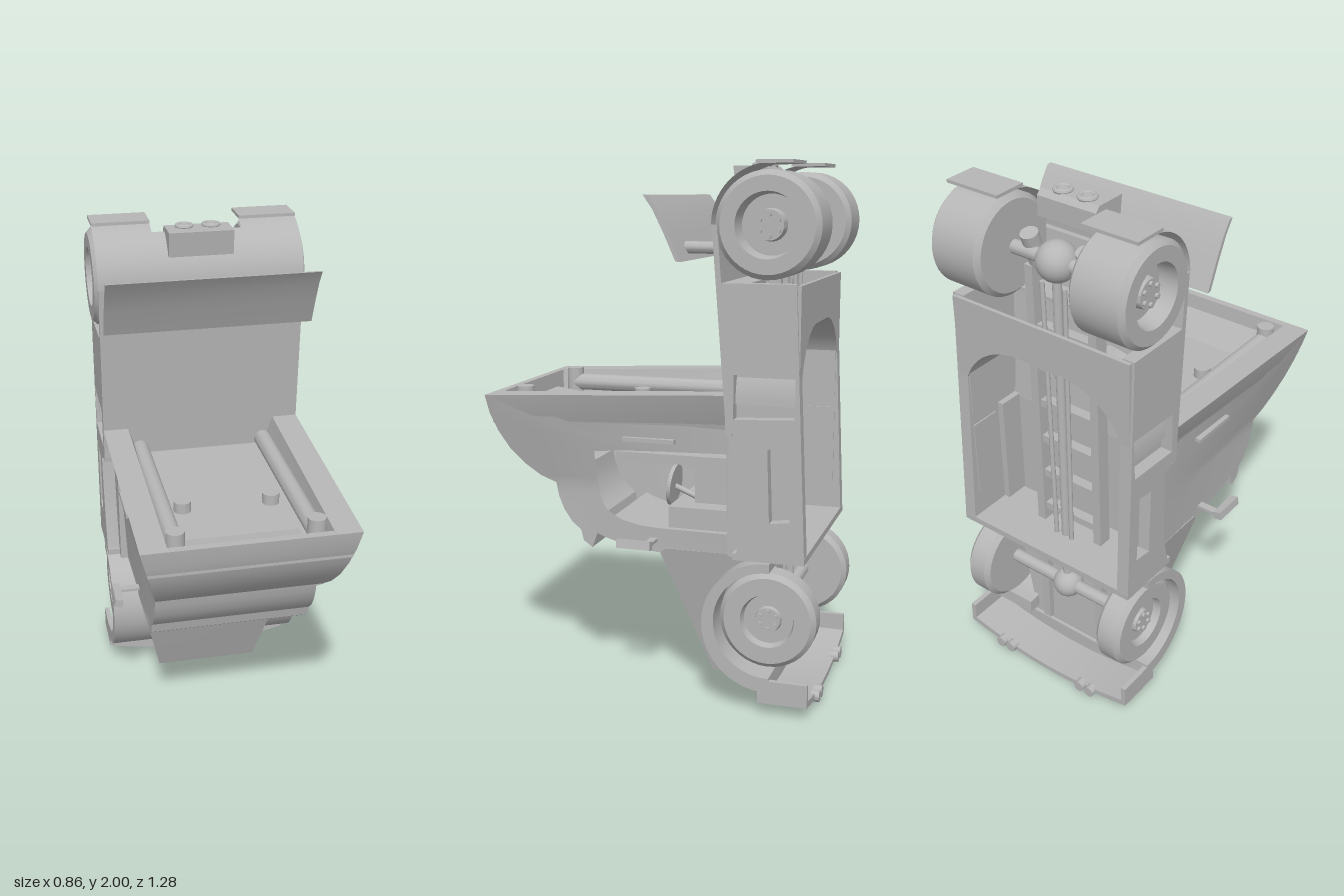
import * as THREE from 'three';
import { toCreasedNormals } from 'three/addons/utils/BufferGeometryUtils.js';

const grey = new THREE.MeshStandardMaterial({ color: 0xb6b6b6, side: THREE.DoubleSide });
grey.name = 'plain grey';

export function createModel() {
  const model = new THREE.Group();
  model.name = 'truck standing on its nose';

  const add = (name, geo, parent = model) => {
    const mesh = new THREE.Mesh(toCreasedNormals(geo, 0.6), grey);
    mesh.name = name;
    parent.add(mesh);
    return mesh;
  };
  // Move every vertex by a rule
  const warp = (geo, rule) => {
    const p = geo.attributes.position;
    const v = new THREE.Vector3();
    for (let i = 0; i < p.count; i++) {
      v.fromBufferAttribute(p, i);
      rule(v);
      p.setXYZ(i, v.x, v.y, v.z);
    }
    geo.computeVertexNormals();
    return geo;
  };
  const box = (x0, x1, y0, y1, z0, z1) =>
    new THREE.BoxGeometry(x1 - x0, y1 - y0, z1 - z0).translate((x0 + x1) / 2, (y0 + y1) / 2, (z0 + z1) / 2);
  const path = (pts) => pts.map(([a, b]) => new THREE.Vector2(a, b));
  // Side profile of [z, y] points extruded from x0 to x1
  const prism = (pts, x0, x1, holes = []) => {
    const shape = new THREE.Shape(path(pts));
    holes.forEach((h) => shape.holes.push(new THREE.Path(path(h))));
    return new THREE.ExtrudeGeometry(shape, { depth: x1 - x0, bevelEnabled: false })
      .rotateY(-Math.PI / 2).translate(x1, 0, 0);
  };
  // Outline of [x, y] points extruded from z0 to z1
  const slab = (pts, z0, z1) =>
    new THREE.ExtrudeGeometry(new THREE.Shape(path(pts)), { depth: z1 - z0, bevelEnabled: false }).translate(0, 0, z0);
  // Sheet following [z, y] points between x0 and x1
  const skin = (pts, x0, x1, width = () => 1) => {
    const geo = new THREE.PlaneGeometry(1, 1, 1, pts.length - 1);
    return warp(geo, (v) => {
      const [z, y] = pts[Math.round((0.5 - v.y) * (pts.length - 1))];
      v.set((v.x < 0 ? x0 : x1) * width(y, z), y, z);
    });
  };
  const arc = (cz, cy, r, a0, a1, n = 16) => Array.from({ length: n + 1 }, (_, i) => {
    const a = THREE.MathUtils.degToRad(a0 + (a1 - a0) * i / n);
    return [cz + r * Math.cos(a), cy + r * Math.sin(a)];
  });
  const rod = (r, from, to) => {
    const a = new THREE.Vector3(...from), b = new THREE.Vector3(...to);
    const d = b.clone().sub(a);
    const geo = new THREE.CylinderGeometry(r, r, d.length(), 20);
    geo.applyQuaternion(new THREE.Quaternion().setFromUnitVectors(new THREE.Vector3(0, 1, 0), d.normalize()));
    return geo.translate(...a.add(b).multiplyScalar(0.5).toArray());
  };

  // Half-width of the cab: leaning out towards the deck, tucked in under the rim near the bed
  const cabWidth = (y, z) => {
    const { clamp, lerp } = THREE.MathUtils;
    const front = lerp(0.31, 0.395, clamp((y - 0.8) / 0.34, 0, 1));
    const rear = y > 1.06 ? lerp(0.345, 0.4, clamp((y - 1.06) / 0.11, 0, 1)) : lerp(0.32, 0.345, clamp((y - 0.6) / 0.46, 0, 1));
    return lerp(front, rear, clamp((0.4 - z) / 0.7, 0, 1));
  };
  const taper = (geo) => warp(geo, (v) => { v.x *= cabWidth(v.y, v.z) / 0.4; });
  // Sheet between two closed [z, y] loops, lying on the side of the cab
  const ring = (outer, inner) => warp(new THREE.PlaneGeometry(1, 1, outer.length, 6), (v) => {
    const i = Math.round((v.x + 0.5) * outer.length) % outer.length;
    const z = THREE.MathUtils.lerp(inner[i][0], outer[i][0], v.y + 0.5);
    const y = THREE.MathUtils.lerp(inner[i][1], outer[i][1], v.y + 0.5);
    v.set(cabWidth(y, z), y, z);
  });

  // Cab front and roof
  const roof = [[0.64, 1.14], [0.63, 1.07], [0.605, 1.0], [0.565, 0.93], [0.51, 0.87], [0.45, 0.825], [0.39, 0.8]];
  const glass = [[0.39, 0.8], [0.38, 0.75], [0.36, 0.7], [0.33, 0.655], [0.29, 0.62], [0.28, 0.58], [0.245, 0.555]];
  const cowl = [[0.245, 0.555], [0.24, 0.62], [0.19, 0.6], [0.12, 0.58], [0.04, 0.565], [-0.04, 0.56]];
  add('cabRoof', skin(roof, -1, 1, cabWidth));
  add('windshield', skin(glass, -1, 1, cabWidth));
  add('cowl', skin(cowl, -1, 1, cabWidth));
  const cabOutline = [...roof, ...glass.slice(1), ...cowl.slice(1),
    [-0.3, 0.58], [-0.3, 0.8], [-0.3, 1.06], [0, 1.055], [0.3, 1.05]];
  const doorway = [[0.22, 0.94], [0.22, 0.93], [0.22, 0.915], [0.22, 0.89], [0.22, 0.86], [0.22, 0.835], [0.215, 0.81],
    [0.21, 0.79], [0.21, 0.775], [0.205, 0.76], [0.2, 0.745], [0.195, 0.73], [0.185, 0.715],
    [0.175, 0.705], [0.15, 0.69], [0.12, 0.675], [0.05, 0.66], [-0.02, 0.655],
    [-0.29, 0.655], [-0.29, 0.8], [-0.29, 0.96], [-0.05, 0.955], [0.1, 0.95]];

  // Deck behind the cab
  add('deckFloor', taper(prism([[0.62, 1.03], [0.62, 1.05], [-0.3, 1.07], [-0.3, 1.05]], -0.4, 0.4)));
  add('deckFrontRim', taper(prism([[0.615, 1.04], [0.64, 1.14], [0.61, 1.14], [0.6, 1.04]], -0.4, 0.4)));
  add('deckRamp', prism([[0.39, 1.05], [0.61, 1.05], [0.61, 1.08]], -0.22, 0.22));

  // Bed, floor and rear cover
  add('bedSkin', prism([[-0.305, 1.04], [-0.247, 1.78], [-0.267, 1.78], [-0.325, 1.04]], -0.4, 0.4));
  add('cabFloor', box(-0.35, 0.35, 0.58, 1.05, -0.325, -0.3));
  add('firewallLip', box(-0.4, 0.4, 0.585, 0.61, -0.595, -0.33));
  add('rearCover', skin(arc(-0.455, 1.78, 0.21, 0, 62), -0.4, 0.4));
  const arch = arc(0.1, 1.15, 0.27, 0, 90);
  add('underPanel', slab([[0.39, 1.575], [0.39, 1.15], ...arch,
    ...arch.slice().reverse().map(([x, y]) => [-x, y]), [-0.39, 1.15], [-0.39, 1.575]], -0.565, -0.55));
  add('bedEnd', box(-0.4, 0.4, 1.565, 1.58, -0.38, -0.27));

  // Hood, narrowing to the nose
  add('hood', warp(prism([[-0.03, 0.56], [-0.2, 0.1], [-0.21, 0.075], [-0.42, 0.075], [-0.4, 0.58], [-0.05, 0.58]], -1, 1),
    (v) => { v.x *= 0.215 + 0.22 * (v.y - 0.1); }));

  // Curved bumper with a closed front face
  const bow = (inset, n = 14) => Array.from({ length: n + 1 }, (_, i) => {
    const x = -1 + 2 * i / n;
    return [x * (0.4 - inset), 0.003 + 0.045 * x * x + inset];
  });
  add('bumper', slab([[-0.4, 0.135], ...bow(0), [0.4, 0.135], [0.38, 0.135], ...bow(0.02).reverse(), [-0.38, 0.135]], -0.615, -0.435));
  add('bumperFace', slab([[-0.4, 0.085], ...bow(0), [0.4, 0.085]], -0.445, -0.43));

  // Chassis
  add('driveShaft', rod(0.017, [0, 0.36, -0.46], [0, 1.78, -0.45]));
  for (let i = 0; i < 7; i++) add('crossMember', box(-0.13, 0.13, 0.5 + i * 0.16, 0.53 + i * 0.16, -0.43, -0.39));
  [[0.36, -0.456, 0.06], [1.78, -0.446, 0.075]].forEach(([y, z, r]) => {
    add('differential', new THREE.SphereGeometry(r, 20, 14).translate(0, y, z));
    add('axle', rod(0.026, [-0.34, y, z], [0.34, y, z]));
  });

  // Rear engine and spoiler
  add('engineBlock', prism([[-0.25, 1.985], [-0.262, 1.89], [-0.39, 1.89], [-0.39, 1.965], [-0.37, 1.985]], -0.125, 0.125));
  const blade = [[0, 1.88], [-0.035, 1.83], [-0.075, 1.75], [-0.12, 1.65]];
  add('spoiler', prism([...blade, ...blade.map(([z, y]) => [z + 0.018, y + 0.002]).reverse()].map(([z, y]) => [z - 0.014, y]), -0.4, 0.4));

  // Wheel with a dished rim, axis along x
  const wheel = (name, r, rim, half, dish, x, y, z, parent) => {
    const g = new THREE.Group();
    g.name = name;
    g.position.set(x, y, z);
    parent.add(g);
    const profile = path([[0, -half], [r * 0.9, -half], [r, -half + 0.018], [r, half - 0.018], [r * 0.9, half],
      [rim, half], [rim * 0.92, half - dish], [rim * 0.5, half - dish], [rim * 0.46, half - dish * 0.4], [0, half - dish * 0.4]]);
    add('tyre', new THREE.LatheGeometry(profile, 40).rotateZ(-Math.PI / 2), g);
    for (let i = 0; i < 6; i++) {
      const a = i * Math.PI / 3, c = rim * 0.33, out = half - dish * 0.4;
      add('lugNut', rod(0.009, [out - 0.01, c * Math.cos(a), c * Math.sin(a)], [out + 0.01, c * Math.cos(a), c * Math.sin(a)]), g);
    }
  };

  // Everything that exists once on each side
  for (const s of [1, -1]) {
    const side = new THREE.Group();
    side.name = s > 0 ? 'leftSide' : 'rightSide';
    side.scale.x = s;
    model.add(side);

    // The doorway is open on the left and closed on the right
    add('cabSide', ring(cabOutline, doorway), side);
    if (s < 0) add('door', ring(doorway, doorway.map(() => [-0.03, 0.82])), side);
    add('deckRim', taper(prism([[0.615, 1.04], [0.64, 1.14], [-0.3, 1.185], [-0.3, 1.06]], 0.3, 0.4)), side);
    add('deckPipe', rod(0.034, [0.255, 1.1, -0.28], [0.255, 1.1, 0.535]), side);
    add('pipeEnd', rod(0.034, [0.255, 1.06, 0.535], [0.255, 1.16, 0.535]), side);
    add('deckPost', rod(0.033, [0.17, 1.05, 0.205], [0.17, 1.1, 0.205]), side);
    add('doorHandle', box(0.345, 0.37, 0.99, 1.005, -0.1, 0.1), side);
    add('mirror', box(-0.016, 0.016, -0.016, 0.016, -0.065, 0.065).rotateZ(0.2).translate(0.412, 0.612, 0.04), side);
    add('mirrorArm', box(0.3, 0.41, 0.604, 0.616, -0.02, 0.01), side);

    // Seat
    add('seatBack', box(0.06, 0.3, 0.9, 0.935, -0.28, 0.15), side);
    add('seatCushion', box(0.06, 0.3, 0.76, 0.91, -0.3, -0.16), side);

    // Bed side with locker, slot and curved front edge
    add('bedSide', prism([[-0.275, 1.58], [-0.3, 1.18], [-0.3, 1.06], [-0.41, 1.01], [-0.4, 0.9], [-0.38, 0.76], [-0.34, 0.585],
      [-0.595, 0.585], [-0.55, 1.58]], 0.35, 0.4, [
      [[-0.33, 1.26], [-0.555, 1.27], [-0.55, 1.11], [-0.33, 1.1]],
      [[-0.455, 1.0], [-0.53, 1.01], [-0.54, 0.74], [-0.465, 0.73]]]), side);
    add('doorPost', box(0.325, 0.35, 0.585, 1.06, -0.42, -0.3), side);
    add('lockerBack', box(0.345, 0.352, 1.08, 1.29, -0.56, -0.31), side);
    add('slotBack', box(0.345, 0.352, 0.71, 1.03, -0.56, -0.44), side);
    add('innerArch', warp(skin(arch, -0.56, -0.3), (v) => v.set(v.z, v.y, v.x)), side);

    // Rear wheel cover running flat to the tail
    add('wheelCover', skin([...arc(-0.455, 1.78, 0.21, 62, 90), [-0.53, 1.992]], 0.175, 0.4), side);
    add('coverEdge', box(0.175, 0.4, 1.987, 1.999, -0.53, -0.4), side);
    wheel('rearWheel', 0.187, 0.115, 0.112, 0.07, 0.3, 1.78, -0.446, side);
    wheel('frontWheel', 0.18, 0.1, 0.055, 0.03, 0.325, 0.357, -0.457, side);

    // Front fender
    add('frontFender', prism([...arc(-0.46, 0.335, 0.245, 92, -93, 24), ...arc(-0.46, 0.345, 0.2, -93, 92, 24)], 0.2, 0.4), side);

    // Engine stacks, shocks and rails
    add('intakeRing', new THREE.TorusGeometry(0.028, 0.009, 8, 24).rotateX(Math.PI / 2).translate(0.052, 1.988, -0.34), side);
    add('intake', rod(0.022, [0.052, 1.97, -0.34], [0.052, 1.99, -0.34]), side);
    add('shock', rod(0.033, [0.12, 1.72, -0.4], [0.12, 1.85, -0.445]), side);
    add('frameRail', box(0.12, 0.155, 0.08, 1.72, -0.44, -0.385), side);
    add('tieRod', rod(0.009, [0.035, 0.5, -0.47], [0.05, 1.7, -0.47]), side);
    add('spoilerStrut', rod(0.022, [0.255, 1.695, -0.28], [0.255, 1.695, -0.11]), side);
    for (const x of [0.18, 0.23]) add('bumperLamp', rod(0.022, [x, 0.028, -0.6], [x, 0.028, -0.632]), side);
  }

  // Dashboard and steering wheel
  add('dashboard', box(-0.31, 0.31, 0.66, 0.74, -0.29, -0.06));
  add('steeringWheel', new THREE.CylinderGeometry(0.08, 0.08, 0.014, 28).rotateX(Math.PI / 2 - 0.1).translate(0.17, 0.79, -0.04));
  add('steeringColumn', rod(0.011, [0.17, 0.72, -0.2], [0.17, 0.79, -0.03]));
  return model;
}
